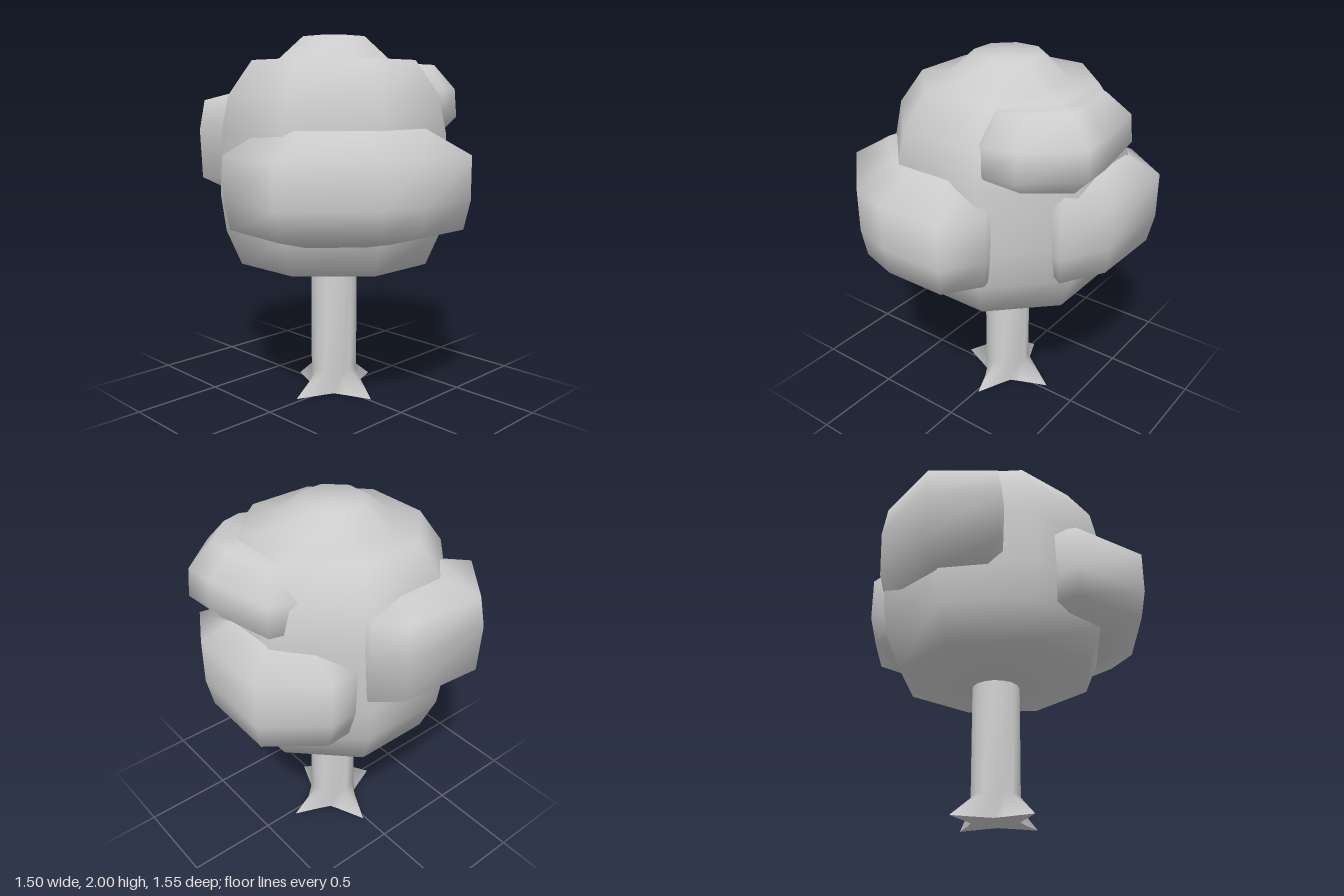
import * as THREE from 'three';

const material = new THREE.MeshStandardMaterial({ color: 0xcccccc });

// Smooth closed skin through stacked rings of [x, y, z] points, bottom to top.
function loft(name, rings) {
  const n = rings[0].length, rows = rings.length;
  const pts = rings.flat();
  const middle = (ring) => [0, 1, 2].map((k) => ring.reduce((s, p) => s + p[k], 0) / n);
  pts.push(middle(rings[0]), middle(rings[rows - 1]));
  const index = [];
  for (let j = 0; j < n; j++) {
    const k = (j + 1) % n, top = (rows - 1) * n;
    for (let i = 0; i < rows - 1; i++) {
      const a = i * n + j, b = i * n + k;
      index.push(a, a + n, b, b, a + n, b + n);
    }
    index.push(rows * n, j, k, rows * n + 1, top + k, top + j);
  }
  const geometry = new THREE.BufferGeometry();
  geometry.setAttribute('position', new THREE.Float32BufferAttribute(pts.flat(), 3));
  geometry.setIndex(index);
  geometry.computeVertexNormals();
  const mesh = new THREE.Mesh(geometry, material);
  mesh.name = name;
  return mesh;
}

// Ring around the trunk axis; radius is a function of the point number.
const CX = 0.015, CZ = -0.03;
function ring(n, y, radius, turn = 0) {
  return Array.from({ length: n }, (_, j) => {
    const t = (j / n) * Math.PI * 2 + turn;
    return [CX + Math.cos(t) * radius(j), y, CZ + Math.sin(t) * radius(j)];
  });
}

// Foliage lobe: an outline seen from above, scaled about a centre at each height.
function lobe(name, [cx, cz], outline, rows) {
  return loft(name, rows.map(([y, s]) =>
    outline.map(([x, z]) => [cx + (x - cx) * s, y, cz + (z - cz) * s])));
}

export function createModel() {
  const tree = new THREE.Group();
  tree.name = 'tree';

  // Trunk flaring into four pointed roots
  const round = () => 0.13;
  const star = (j) => [0.295, 0.16, 0.125, 0.16][j % 4];
  tree.add(loft('trunk', [
    ring(16, 0, star), ring(16, 0, star), ring(16, 0.13, round), ring(16, 0.78, round),
  ]));

  const foliage = new THREE.Group();
  foliage.name = 'foliage';
  tree.add(foliage);

  // Eight-sided crown: [height, half width]
  const corner = 1 / Math.cos(Math.PI / 8);
  const crown = [[0.73, 0.12], [0.78, 0.5], [0.97, 0.575], [1.17, 0.6], [1.49, 0.59],
    [1.69, 0.55], [1.87, 0.43], [1.872, 0.3], [2, 0.165]];
  foliage.add(loft('crown', crown.map(([y, r]) => ring(8, y, () => r * corner, Math.PI / 8))));

  // Bulges around the crown
  foliage.add(lobe('frontRightLobe', [-0.15, 0.2],
    [[0.33, 0.58], [0.2, 0.77], [-0.16, 0.77], [-0.39, 0.7], [-0.75, 0.36], [-0.7, -0.1],
      [-0.35, -0.2], [0.2, 0.1]],
    [[0.95, 0.6], [1.01, 0.95], [1.16, 1], [1.39, 1], [1.52, 0.65]]));
  foliage.add(lobe('backLobe', [-0.05, -0.35],
    [[0.25, -0.2], [-0.3, -0.2], [-0.56, -0.49], [-0.31, -0.78], [0.15, -0.74], [0.29, -0.63]],
    [[1.15, 0.65], [1.24, 0.98], [1.5, 1], [1.66, 0.94], [1.71, 0.55]]));
  foliage.add(lobe('leftLobe', [0.4, -0.1],
    [[0.74, 0.11], [0.6, 0.35], [0.2, 0.1], [0.2, -0.3], [0.25, -0.57], [0.47, -0.58],
      [0.75, -0.36]],
    [[0.95, 0.6], [1.01, 0.92], [1.16, 1], [1.4, 1], [1.51, 0.58]]));
  foliage.add(lobe('upperLeftLobe', [0.3, 0.1],
    [[0.69, 0.27], [0.44, 0.49], [0.28, 0.53], [0, 0.4], [0, -0.2], [0.45, -0.35],
      [0.61, -0.29], [0.68, 0.1]],
    [[1.45, 0.7], [1.57, 1], [1.72, 0.97], [1.85, 0.68]]));

  return tree;
}
